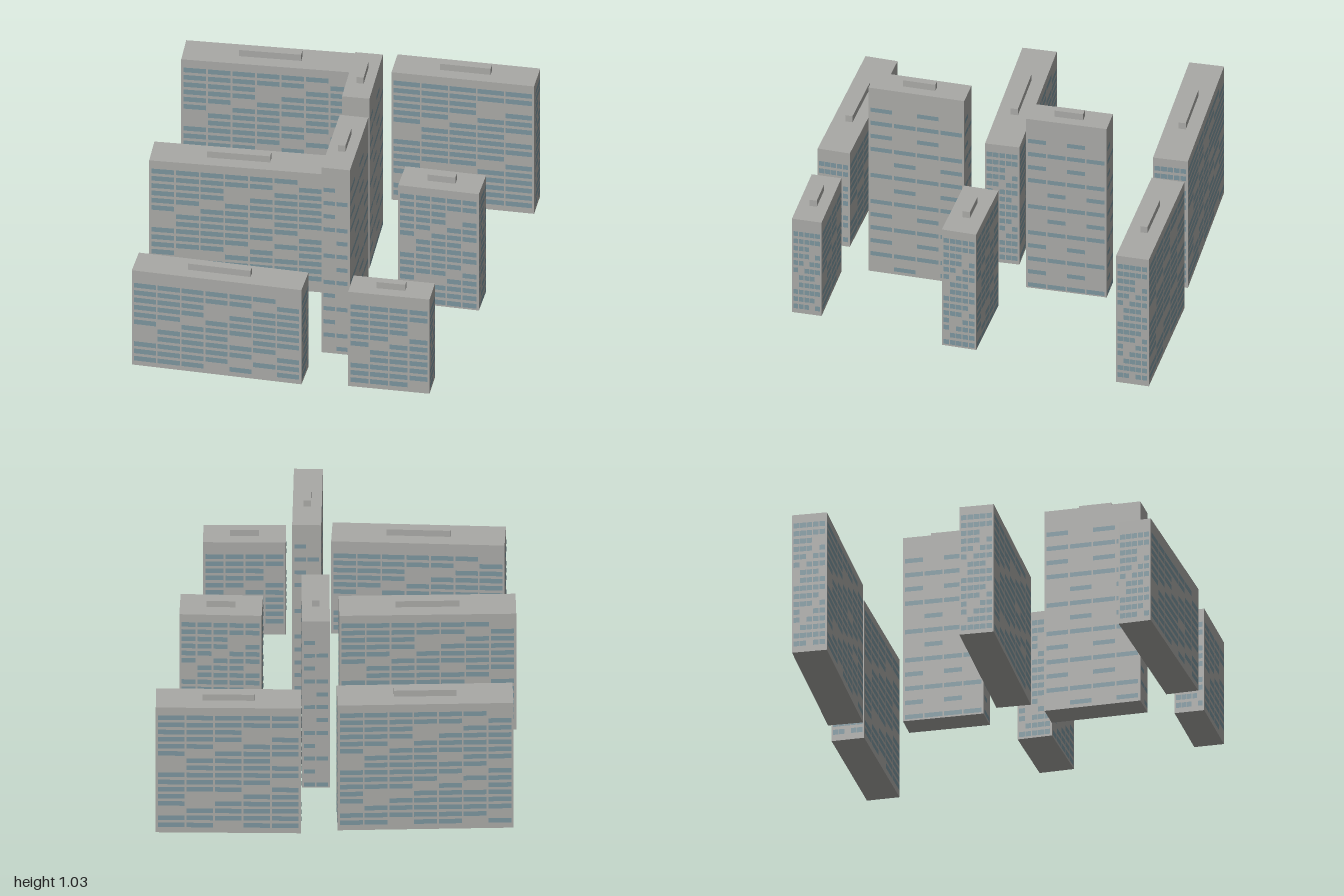
import * as THREE from 'three';
import { mergeGeometries } from 'three/addons/utils/BufferGeometryUtils.js';

const concrete = new THREE.MeshStandardMaterial({ name: 'concrete', color: 0xa8a8a5 });
const glass = new THREE.MeshStandardMaterial({ name: 'blueGreyGlass', color: 0x7a939c });

// Slab blocks leave out windows along falling diagonals, towers on every other floor
const slabBlank = (col, row) => (col + row) % 7 === 6 || (col * 5 + row * 3) % 17 === 4;
const towerBlank = (col, row) => row % 2 === 0 && (col + Math.floor(row / 4)) % 2 === 1;

// Flat window strips for one facade facing +z, standing on y = 0
function facade(width, top, pitch, height, cols, blank) {
  const strips = [];
  const cell = (width - 0.012) / cols;
  const gap = Math.min(0.008, cell * 0.12);
  for (let row = 0, y = top; y > 0.012; row++, y -= pitch) {
    for (let col = 0; col < cols; col++) {
      if (blank(col, row)) continue;
      const strip = new THREE.PlaneGeometry(cell - gap, height);
      strip.translate((col + 0.5 - cols / 2) * cell, y, 0);
      strips.push(strip);
    }
  }
  return mergeGeometries(strips);
}

function box(name, w, h, d, y) {
  const mesh = new THREE.Mesh(new THREE.BoxGeometry(w, h, d), concrete);
  mesh.name = name;
  mesh.position.y = y + h / 2;
  return mesh;
}

function building({ name, x, z, w, d, h, angle, roof, cols, tower }) {
  const group = new THREE.Group();
  group.name = name;
  group.position.set(x, 0, z);
  group.rotation.y = -THREE.MathUtils.degToRad(angle);

  // Walls and the long plant room on the roof
  group.add(box('walls', w, h, d, 0));
  group.add(box('roofPlantRoom', tower ? 0.034 : roof, 0.033, tower ? roof : 0.034, h));

  // Windows on all four sides
  const top = tower ? h - 0.118 : h - (h < 0.6 ? 0.078 : 0.055);
  const pitch = tower ? 0.0712 : 0.0395;
  const height = tower ? 0.022 : 0.025;
  const blank = tower ? towerBlank : slabBlank;
  const sides = [];
  for (let side = 0; side < 4; side++) {
    const facesX = side % 2 === 1;
    const isLong = facesX === !!tower;
    const geo = facade(facesX ? d : w, top, pitch, height, isLong ? cols : (tower ? 2 : 5), blank);
    geo.translate(0, 0, (facesX ? w : d) / 2 + 0.0015);
    geo.rotateY(side * Math.PI / 2);
    sides.push(geo);
  }
  const windows = new THREE.Mesh(mergeGeometries(sides), glass);
  windows.name = 'windows';
  group.add(windows);
  return group;
}

export function createModel() {
  const model = new THREE.Group();
  model.name = 'housingEstate';
  const blocks = [
    { name: 'backLongBlock', x: -0.223, z: -0.829, w: 0.8, d: 0.162, h: 0.69, angle: 13.5, roof: 0.285, cols: 7 },
    { name: 'backLeftBlock', x: 0.65, z: -0.63, w: 0.66, d: 0.153, h: 0.69, angle: 15.8, roof: 0.235, cols: 5 },
    { name: 'backTower', x: 0.144, z: -0.277, w: 0.127, d: 0.376, h: 0.92, angle: 14.7, roof: 0.135, cols: 4, tower: true },
    { name: 'middleLongBlock', x: -0.438, z: -0.072, w: 0.805, d: 0.16, h: 0.64, angle: 13.8, roof: 0.29, cols: 7 },
    { name: 'middleShortBlock', x: 0.465, z: 0.185, w: 0.375, d: 0.162, h: 0.63, angle: 17.2, roof: 0.13, cols: 5 },
    { name: 'frontTower', x: 0, z: 0.4, w: 0.132, d: 0.45, h: 1.0, angle: 16.1, roof: 0.153, cols: 4, tower: true },
    { name: 'frontLongBlock', x: -0.595, z: 0.667, w: 0.79, d: 0.152, h: 0.51, angle: 17.6, roof: 0.29, cols: 7 },
    { name: 'frontShortBlock', x: 0.169, z: 0.875, w: 0.376, d: 0.139, h: 0.51, angle: 15.5, roof: 0.133, cols: 4 },
  ];
  for (const block of blocks) model.add(building(block));
  return model;
}
